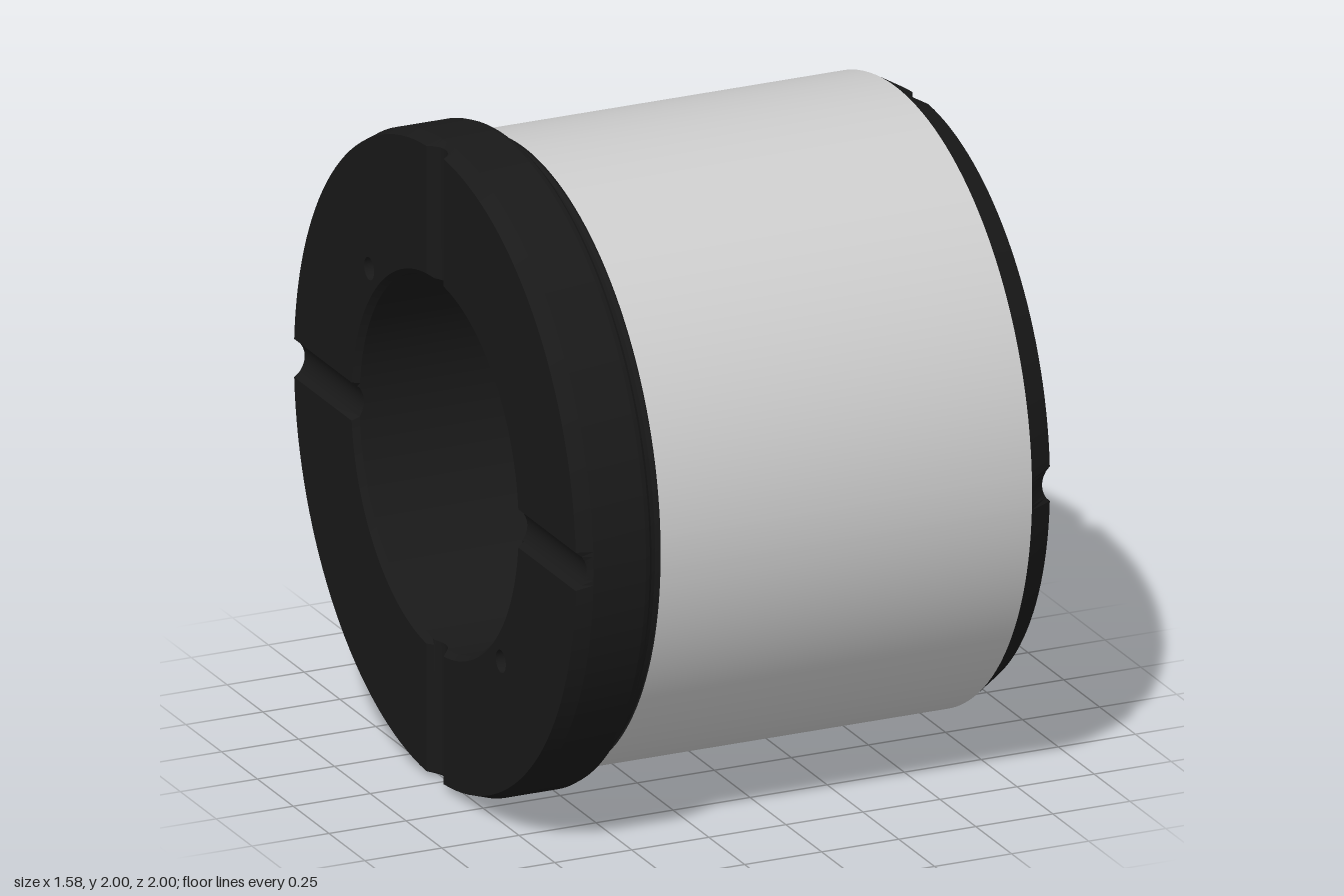
import * as THREE from 'three';
import { toCreasedNormals, mergeGeometries } from 'three/addons/utils/BufferGeometryUtils.js';

const LEFT = -0.79, RIGHT = 0.785;              // end planes along the x axis
const LEFT_GROOVE = { w: 0.06, d: 0.035 };      // half width and depth
const RIGHT_GROOVE = { w: 0.055, d: 0.026 };
const LAND_STEPS = 32, GROOVE_STEPS = 8;

// Depth of a round-bottomed groove at sideways offset t
function grooveDepth({ w, d }, t) {
  const R = (w * w + d * d) / (2 * d);
  return Math.max(0, Math.sqrt(R * R - t * t) - (R - d));
}

// Columns around the axis: four parallel-sided grooves with lands between
function makeColumns(w) {
  const cols = [];
  for (let q = 0; q < 4; q++) {
    const base = q * Math.PI / 2;
    for (let i = 0; i <= GROOVE_STEPS; i++) {
      const t = w * (2 * i / GROOVE_STEPS - 1);
      cols.push({ t, land: i === GROOVE_STEPS, angle: r => base + Math.asin(t / r) });
    }
    for (let i = 1; i < LAND_STEPS; i++) {
      const f = i / LAND_STEPS;
      cols.push({
        t: w, land: true,
        angle: r => base + Math.asin(w / r) * (1 - 2 * f) + f * Math.PI / 2,
      });
    }
  }
  return cols;
}

// Turns an [x, radius] profile about the x axis, cutting the end grooves;
// skipRow leaves the lands of one profile segment open
function turn(profile, groove, skipRow = -1) {
  const cols = makeColumns(groove.w), n = cols.length;
  const pos = [], index = [];
  for (const [x, r] of profile) {
    for (const c of cols) {
      const a = c.angle(r), depth = grooveDepth(groove, c.t);
      const cx = Math.min(Math.max(x, LEFT + depth), RIGHT - depth);
      pos.push(cx, r * Math.cos(a), r * Math.sin(a));
    }
  }
  for (let i = 0; i < profile.length - 1; i++) {
    for (let j = 0; j < n; j++) {
      if (i === skipRow && cols[j].land) continue;
      const a = i * n + j, b = i * n + (j + 1) % n;
      index.push(a, b, a + n, b, b + n, a + n);
    }
  }
  const geo = new THREE.BufferGeometry();
  geo.setAttribute('position', new THREE.Float32BufferAttribute(pos, 3));
  geo.setIndex(index);
  return toCreasedNormals(geo, 0.28);
}

// One flat quarter of the flange face, optionally drilled
function landFace(q, rIn, rOut, w, hole) {
  const pts = [];
  const arc = (r, reverse) => {
    for (let i = 0; i <= LAND_STEPS; i++) {
      const f = (reverse ? LAND_STEPS - i : i) / LAND_STEPS;
      const a = q * Math.PI / 2 + Math.asin(w / r) * (1 - 2 * f) + f * Math.PI / 2;
      pts.push(new THREE.Vector2(r * Math.sin(a), r * Math.cos(a)));
    }
  };
  arc(rIn, false);
  arc(rOut, true);
  const shape = new THREE.Shape(pts);
  if (hole) shape.holes.push(new THREE.Path().absarc(hole.z, hole.y, hole.r, 0, Math.PI * 2, true));
  return new THREE.ShapeGeometry(shape, 12).rotateY(-Math.PI / 2).translate(LEFT, 0, 0);
}

export function createModel() {
  const model = new THREE.Group();
  model.name = 'flangedBushing';
  const grey = new THREE.MeshStandardMaterial({ color: 0xcccccc });
  const dark = new THREE.MeshStandardMaterial({ color: 0x191919 });
  const darkOpen = new THREE.MeshStandardMaterial({ color: 0x191919, side: THREE.DoubleSide });

  const add = (name, geo, mat) => {
    const mesh = new THREE.Mesh(geo, mat);
    mesh.name = name;
    mesh.position.y = 1;
    model.add(mesh);
    return mesh;
  };

  // Ground outer surface
  add('sleeve', turn([[-0.5, 0.952], [0.705, 0.952]], RIGHT_GROOVE), grey);

  // Chamfered plain end with a countersunk mouth
  add('plainEnd', turn([
    [0.705, 0.952], [RIGHT, 0.905], [RIGHT, 0.58], [0.63, 0.465],
  ], RIGHT_GROOVE), dark);

  // Narrow lip, then the wide bore
  add('bore', turn([
    [0.63, 0.465], [0.43, 0.465], [0.43, 0.57], [-0.77, 0.57],
  ], LEFT_GROOVE), dark);

  // Flange with bevelled rim, rounded shoulder and undercut
  const flange = [
    [-0.77, 0.57], [LEFT, 0.585], [LEFT, 0.985], [-0.74, 1], [-0.57, 1], [-0.555, 0.995],
    [-0.545, 0.985], [-0.54, 0.965], [-0.53, 0.95], [-0.515, 0.945], [-0.5, 0.945], [-0.5, 0.952],
  ];
  add('flange', turn(flange, LEFT_GROOVE, 1), dark);

  // Flange face with two opposite pin holes
  const pins = { 1: { y: -0.46, z: 0.46, r: 0.035 }, 3: { y: 0.46, z: -0.46, r: 0.035 } };
  add('flangeFace', mergeGeometries([0, 1, 2, 3].map(
    q => landFace(q, 0.585, 0.985, LEFT_GROOVE.w, pins[q]))), dark);
  for (const p of Object.values(pins)) {
    const depth = 0.12;
    const wall = new THREE.CylinderGeometry(p.r, p.r, depth, 24, 1, true).rotateZ(Math.PI / 2);
    const floor = new THREE.CircleGeometry(p.r, 24).rotateY(-Math.PI / 2).translate(depth / 2, 0, 0);
    add('pinHole', mergeGeometries([wall, floor]), darkOpen).position.set(LEFT + depth / 2, 1 + p.y, p.z);
  }
  return model;
}
